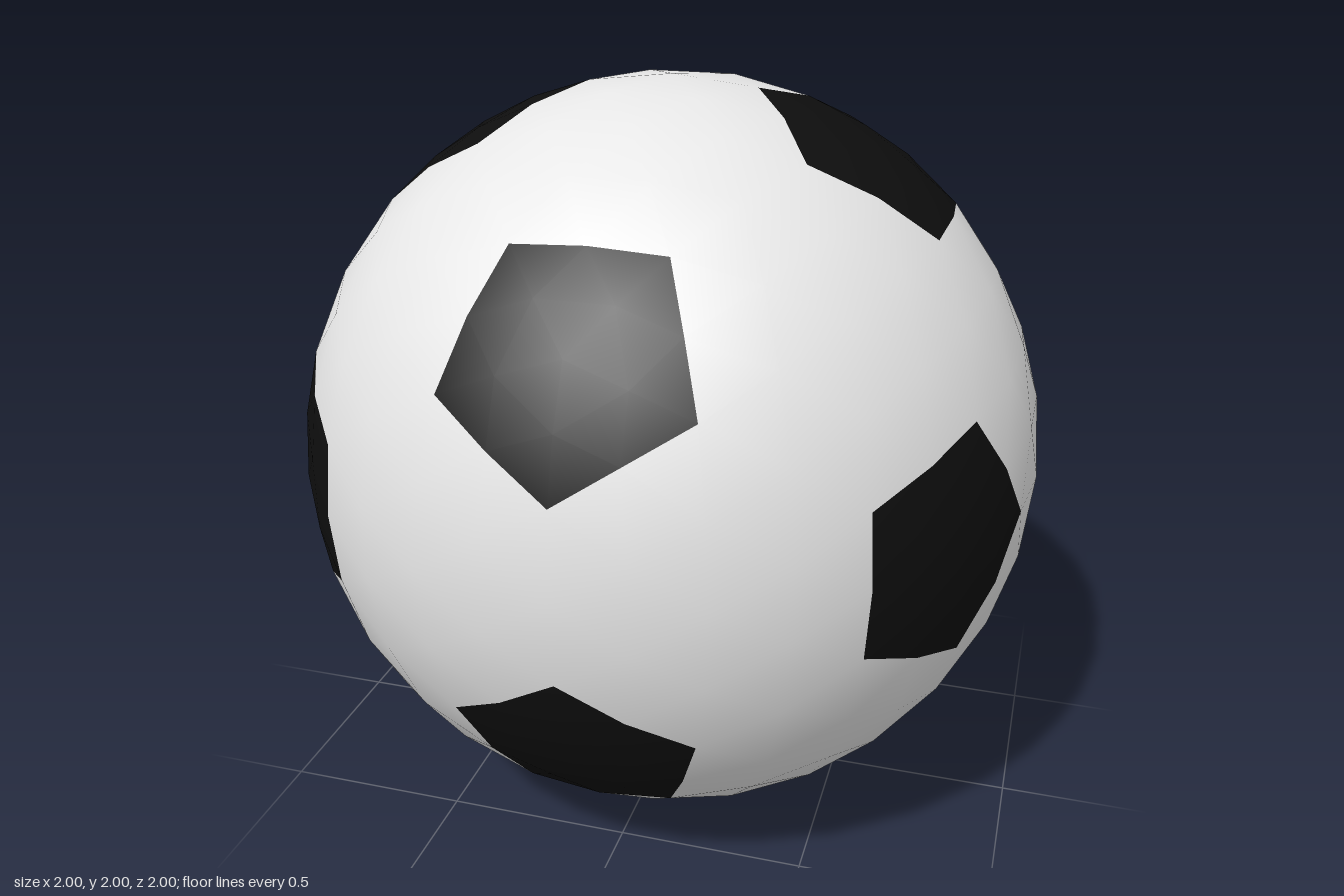
import * as THREE from 'three';

const V = (x, y, z) => new THREE.Vector3(x, y, z);
const SPLIT = 2;          // subdivisions of each panel wedge
const CORNER = 0.2955;    // pentagon corner, as a share of the arc to the next pentagon

// Point along the arc between two unit vectors
function arc(a, b, t) {
  const w = a.angleTo(b);
  return a.clone().multiplyScalar(Math.sin((1 - t) * w))
    .addScaledVector(b, Math.sin(t * w)).divideScalar(Math.sin(w));
}

// Domed panel: a fan of wedges round its centre, subdivided onto the unit sphere
function panelGeometry(corners) {
  const centre = corners.reduce((s, c) => s.add(c), V(0, 0, 0)).normalize();
  const u = corners[0].clone().addScaledVector(centre, -corners[0].dot(centre)).normalize();
  const v = centre.clone().cross(u);
  const angle = (p) => Math.atan2(p.dot(v), p.dot(u));
  const ring = [...corners].sort((a, b) => angle(a) - angle(b));
  const pos = [];
  ring.forEach((a, k) => {
    const b = ring[(k + 1) % ring.length];
    const at = (i, j) => centre.clone().multiplyScalar(SPLIT - i - j)
      .addScaledVector(a, i).addScaledVector(b, j).normalize();
    const tri = (...pts) => pts.forEach((p) => pos.push(p.x, p.y, p.z));
    for (let i = 0; i < SPLIT; i++) {
      for (let j = 0; j < SPLIT - i; j++) {
        tri(at(i, j), at(i + 1, j), at(i, j + 1));
        if (i + j < SPLIT - 1) tri(at(i + 1, j), at(i + 1, j + 1), at(i, j + 1));
      }
    }
  });
  const g = new THREE.BufferGeometry();
  g.setAttribute('position', new THREE.Float32BufferAttribute(pos, 3));
  g.setAttribute('normal', new THREE.Float32BufferAttribute(pos, 3)); // smooth, radial
  return g;
}

export function createModel() {
  const white = new THREE.MeshStandardMaterial({ color: 0xe7e7e7 });
  white.name = 'white';
  const black = new THREE.MeshStandardMaterial({ color: 0x0e0e0e });
  black.name = 'black';

  const ball = new THREE.Group();
  ball.name = 'ball';
  const addPanel = (name, corners, material) => {
    const mesh = new THREE.Mesh(panelGeometry(corners), material);
    mesh.name = name;
    mesh.position.y = 1;
    ball.add(mesh);
  };

  // Pentagon centres: the twelve corners of an icosahedron
  const t = (1 + Math.sqrt(5)) / 2;
  const hubs = [];
  for (const a of [-1, 1]) {
    for (const b of [-t, t]) hubs.push(V(a, b, 0), V(0, a, b), V(b, 0, a));
  }
  hubs.forEach((h) => h.normalize());
  const near = (a, b) => a !== b && a.dot(b) > 0.4;

  // Black pentagons
  hubs.forEach((h) => addPanel('pentagonPanel',
    hubs.filter((n) => near(h, n)).map((n) => arc(h, n, CORNER)), black));

  // White hexagons, one between each three neighbouring pentagons
  for (let i = 0; i < 12; i++) {
    for (let j = i + 1; j < 12; j++) {
      for (let k = j + 1; k < 12; k++) {
        const [a, b, c] = [hubs[i], hubs[j], hubs[k]];
        if (!near(a, b) || !near(b, c) || !near(a, c)) continue;
        const pairs = [[a, b], [b, a], [b, c], [c, b], [c, a], [a, c]];
        addPanel('hexagonPanel', pairs.map(([p, q]) => arc(p, q, CORNER)), white);
      }
    }
  }
  return ball;
}
